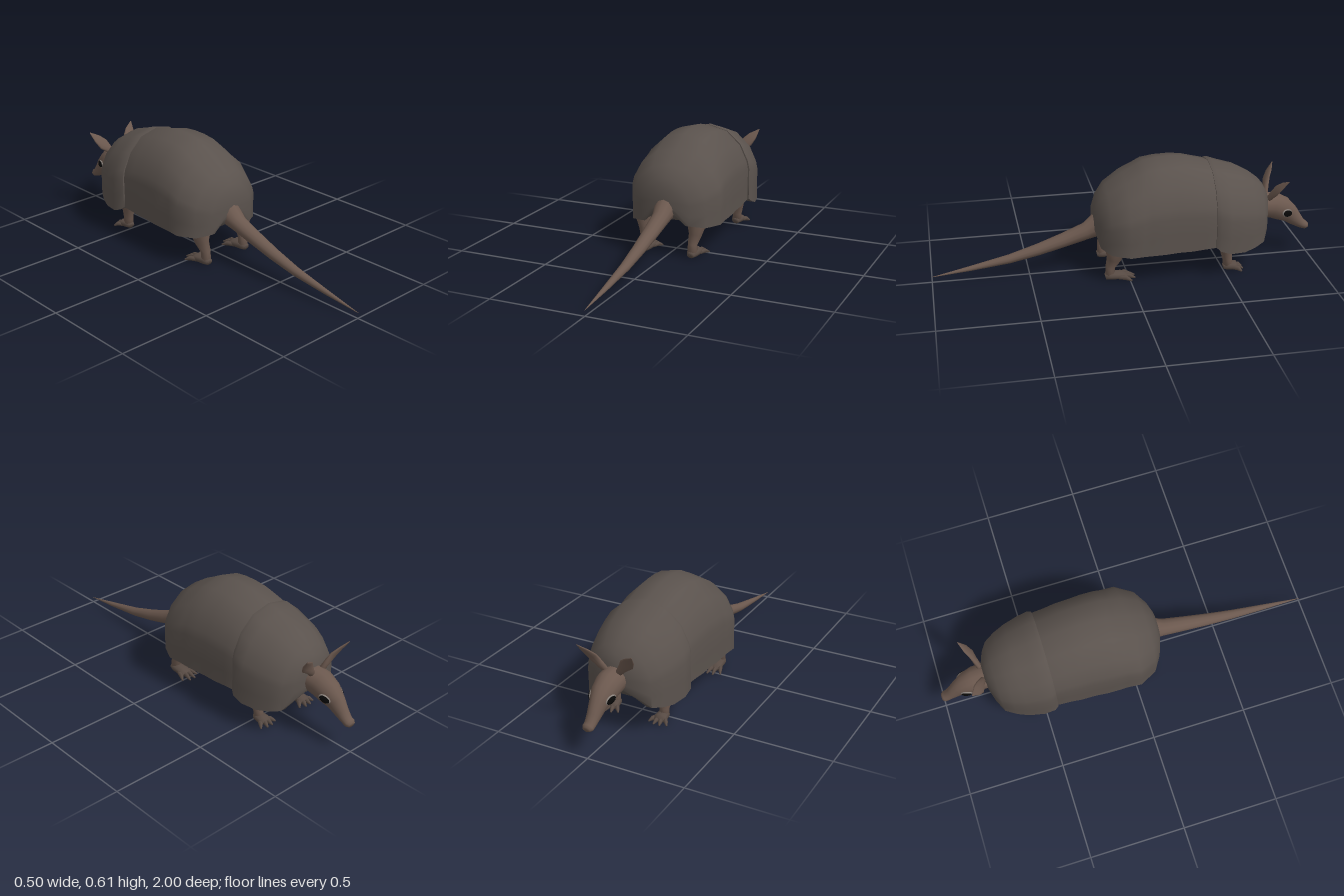
import * as THREE from 'three';
import { toCreasedNormals } from 'three/addons/utils/BufferGeometryUtils.js';

const shellMat = new THREE.MeshStandardMaterial({ color: 0x5a524d });
const skinMat = new THREE.MeshStandardMaterial({ color: 0x6b584e });
const footMat = new THREE.MeshStandardMaterial({ color: 0x574a43 });
const eyeMat = new THREE.MeshStandardMaterial({ color: 0x080808 });
const lidMat = new THREE.MeshStandardMaterial({ color: 0x8a827c });

// Skins a list of equal rings and closes both ends with fans
function loft(rings, crease) {
  const n = rings[0].length, pos = [], idx = [];
  rings.forEach(r => r.forEach(p => pos.push(p.x, p.y, p.z)));
  for (let i = 0; i < rings.length - 1; i++) {
    for (let j = 0; j < n; j++) {
      const a = i * n + j, b = i * n + (j + 1) % n;
      idx.push(a, b, a + n, b, b + n, a + n);
    }
  }
  [0, rings.length - 1].forEach((i, end) => {
    const c = new THREE.Vector3();
    rings[i].forEach(p => c.addScaledVector(p, 1 / n));
    const ci = pos.length / 3;
    pos.push(c.x, c.y, c.z);
    for (let j = 0; j < n; j++) {
      const a = i * n + j, b = i * n + (j + 1) % n;
      if (end) idx.push(ci, a, b); else idx.push(ci, b, a);
    }
  });
  const g = new THREE.BufferGeometry();
  g.setAttribute('position', new THREE.Float32BufferAttribute(pos, 3));
  g.setIndex(idx);
  g.computeVertexNormals();
  return crease ? toCreasedNormals(g, crease) : g;
}

// Tapered limb: stations are [x, y, z, radius across, radius through]
function limb(stations, sides = 10, mirror = 1) {
  const pts = stations.map(s => new THREE.Vector3(s[0] * mirror, s[1], s[2]));
  return loft(stations.map((s, i) => {
    const t = pts[Math.min(i + 1, pts.length - 1)].clone().sub(pts[Math.max(i - 1, 0)]).normalize();
    const u = new THREE.Vector3(1, 0, 0).addScaledVector(t, -t.x).normalize();
    const v = t.clone().cross(u);
    return Array.from({ length: sides }, (_, j) => {
      const a = j / sides * Math.PI * 2;
      return pts[i].clone().addScaledVector(u, s[3] * Math.cos(a)).addScaledVector(v, s[4] * Math.sin(a));
    });
  }));
}

// Domed armour: stations are [z, half width, top, rim, belly]
const half = [[0.44, 0.94], [0.78, 0.76], [0.96, 0.54], [1, 0.43], [0.995, 0.2], [1, 0]];
function dome(stations) {
  return loft(stations.map(([z, w, top, rim, belly]) => {
    const side = half.map(([x, y]) => [x * w, rim + y * (top - rim)]);
    side.push([w * 0.84, rim], [w * 0.6, belly]);
    const left = side.map(([x, y]) => [-x, y]).reverse();
    return [[0, top], ...side, [0, belly], ...left].map(([x, y]) => new THREE.Vector3(x, y, z));
  }), 0.95);
}

export function createModel() {
  const model = new THREE.Group();
  const add = (name, geo, mat, parent = model) => {
    const m = new THREE.Mesh(geo, mat);
    m.name = name;
    parent.add(m);
    return m;
  };

  // Banded body shell, rump first
  add('bodyShell', dome([
    [0.165, 0.075, 0.365, 0.25, 0.25],
    [0.145, 0.135, 0.42, 0.18, 0.21],
    [0.1, 0.205, 0.475, 0.167, 0.19],
    [0.01, 0.25, 0.535, 0.165, 0.178],
    [-0.06, 0.244, 0.572, 0.166, 0.175],
    [-0.1, 0.245, 0.594, 0.167, 0.175],
    [-0.17, 0.244, 0.605, 0.168, 0.175],
    [-0.24, 0.238, 0.608, 0.17, 0.175],
    [-0.31, 0.237, 0.602, 0.17, 0.175],
    [-0.37, 0.231, 0.586, 0.172, 0.175],
    [-0.43, 0.229, 0.57, 0.175, 0.178],
    [-0.52, 0.2, 0.53, 0.18, 0.18],
  ]), shellMat);

  // Shoulder plate overlapping the body
  add('shoulderShell', dome([
    [-0.435, 0.235, 0.57, 0.178, 0.182],
    [-0.455, 0.246, 0.572, 0.16, 0.182],
    [-0.51, 0.244, 0.552, 0.14, 0.18],
    [-0.59, 0.226, 0.528, 0.135, 0.18],
    [-0.65, 0.203, 0.495, 0.145, 0.185],
    [-0.705, 0.172, 0.452, 0.16, 0.195],
    [-0.735, 0.12, 0.415, 0.21, 0.225],
    [-0.755, 0.06, 0.375, 0.25, 0.25],
  ]), shellMat);

  // Tail
  add('tail', limb([
    [0, 0.27, 0.08, 0.075, 0.075], [0, 0.255, 0.14, 0.058, 0.062],
    [0, 0.222, 0.2, 0.046, 0.044], [0, 0.18, 0.32, 0.04, 0.036],
    [0, 0.138, 0.45, 0.033, 0.03], [0, 0.098, 0.6, 0.025, 0.023],
    [0, 0.062, 0.8, 0.014, 0.013], [0, 0.03, 1, 0.001, 0.001],
  ], 12), skinMat);

  // Head with long snout
  const head = new THREE.Group();
  head.name = 'head';
  model.add(head);
  add('skullAndSnout', limb([
    [0, 0.3, -0.64, 0.085, 0.075], [0, 0.296, -0.73, 0.066, 0.066],
    [0, 0.286, -0.8, 0.066, 0.07], [0, 0.262, -0.85, 0.058, 0.066],
    [0, 0.23, -0.895, 0.042, 0.051], [0, 0.19, -0.935, 0.033, 0.036],
    [0, 0.165, -0.965, 0.029, 0.025], [0, 0.156, -0.985, 0.029, 0.022],
    [0, 0.153, -0.998, 0.02, 0.014],
  ], 14), skinMat, head);

  for (const s of [1, -1]) {
    const tag = s > 0 ? 'Left' : 'Right';

    // Eyes with pale rims
    const lid = add('eyeRim' + tag, new THREE.SphereGeometry(1, 16, 10), lidMat, head);
    lid.scale.set(0.01, 0.023, 0.032);
    const eye = add('eye' + tag, new THREE.SphereGeometry(1, 16, 10), eyeMat, head);
    eye.scale.set(0.012, 0.02, 0.028);
    lid.position.set(s * 0.051, 0.254, -0.866);
    eye.position.set(s * 0.053, 0.254, -0.867);
    for (const m of [lid, eye]) m.rotation.set(-0.35, s * 0.3, 0);

    // Leaf-shaped ears
    add('ear' + tag, limb([
      [0.035, 0.34, -0.765, 0.016, 0.014], [0.06, 0.372, -0.775, 0.022, 0.014],
      [0.09, 0.405, -0.785, 0.034, 0.01], [0.115, 0.437, -0.805, 0.027, 0.007],
      [0.145, 0.473, -0.832, 0.002, 0.002],
    ], 10, s), skinMat, head);

    // Legs and toed feet
    const legs = {
      hind: [[0.14, 0.24, 0.05, 0.07, 0.08], [0.145, 0.17, 0.075, 0.048, 0.055],
        [0.14, 0.12, 0.08, 0.034, 0.038], [0.132, 0.07, 0.098, 0.025, 0.025],
        [0.132, 0.015, 0.1, 0.027, 0.025]],
      front: [[0.15, 0.23, -0.49, 0.06, 0.06], [0.148, 0.17, -0.502, 0.042, 0.042],
        [0.143, 0.11, -0.512, 0.032, 0.031], [0.137, 0.06, -0.521, 0.025, 0.025],
        [0.135, 0.015, -0.525, 0.026, 0.024]],
    };
    for (const [kind, path] of Object.entries(legs)) {
      const leg = new THREE.Group();
      leg.name = kind + 'Leg' + tag;
      model.add(leg);
      add('limb', limb(path, 10, s), skinMat, leg);
      const [x, , z] = path[4], reach = kind === 'hind' ? 0.13 : 0.078;
      add('foot', limb([
        [x, 0.018, z + 0.024, 0.02, 0.016], [x, 0.024, z, 0.031, 0.024],
        [x, 0.021, z - reach * 0.45, 0.035, 0.021], [x, 0.016, z - reach * 0.65, 0.03, 0.013],
      ], 10, s), footMat, leg);
      for (let k = -1.5; k <= 1.5; k++) {
        const end = reach * (1.03 - 0.09 * k * k);
        add('toe', limb([
          [x + k * 0.015, 0.018, z - reach * 0.35, 0.011, 0.012],
          [x + k * 0.024, 0.017, z - end * 0.75, 0.011, 0.013],
          [x + k * 0.033, 0.005, z - end, 0.004, 0.004],
        ], 7, s), footMat, leg);
      }
    }
  }
  return model;
}
